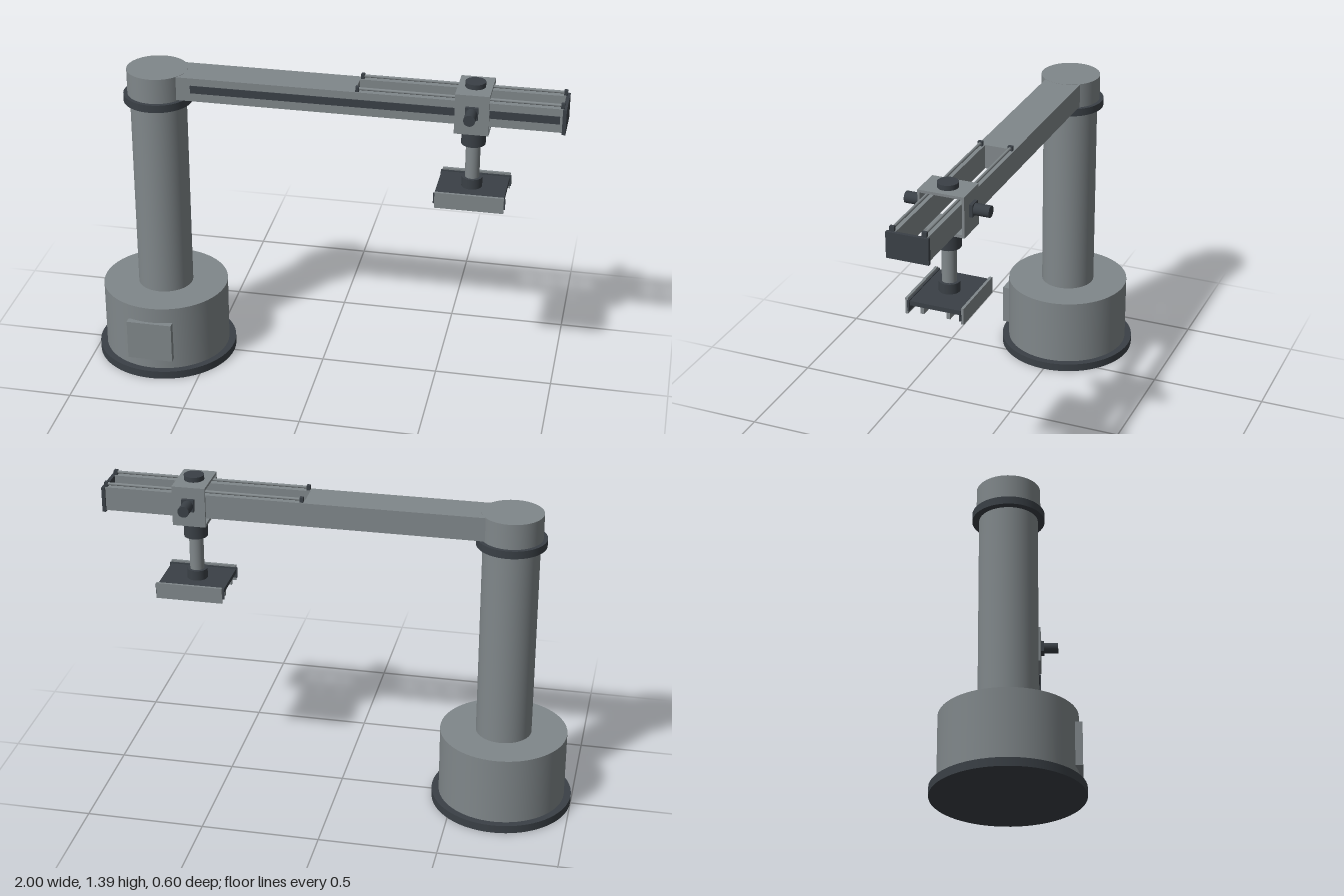
import * as THREE from 'three';

const grey = new THREE.MeshStandardMaterial({ color: 0x80878a });
grey.name = 'machine grey';
const dark = new THREE.MeshStandardMaterial({ color: 0x3a4046 });
dark.name = 'dark grey';

export function createModel() {
  const model = new THREE.Group();
  const COLUMN_X = -0.7, HEAD_X = 0.625;

  const add = (name, geometry, material) => {
    const mesh = new THREE.Mesh(geometry, material);
    mesh.name = name;
    model.add(mesh);
    return mesh;
  };
  // Box given by its low and high limits on each axis
  const box = (name, [x0, x1], [y0, y1], [z0, z1], material) =>
    add(name, new THREE.BoxGeometry(x1 - x0, y1 - y0, z1 - z0), material)
      .position.set((x0 + x1) / 2, (y0 + y1) / 2, (z0 + z1) / 2);
  // Box on one side of the arm; s is +1 for front, -1 for back
  const sideBox = (name, xs, ys, [z0, z1], s, material) =>
    box(name, xs, ys, s > 0 ? [z0, z1] : [-z1, -z0], material);
  // Upright cylinder between two heights
  const post = (name, x, r, y0, y1, material) =>
    add(name, new THREE.CylinderGeometry(r, r, y1 - y0, 64), material)
      .position.set(x, (y0 + y1) / 2, 0);

  // Base, column and shoulder
  post('baseFlange', COLUMN_X, 0.3, 0, 0.035, dark);
  post('baseDrum', COLUMN_X, 0.27, 0.035, 0.33, grey);
  box('accessPanel', [-0.8, -0.605], [0.085, 0.262], [0.255, 0.284], grey);
  post('column', COLUMN_X, 0.118, 0.33, 1.195, grey);
  post('shoulderCollar', COLUMN_X, 0.145, 1.192, 1.225, dark);
  post('shoulderCap', COLUMN_X, 0.128, 1.225, 1.333, grey);

  // Arm: solid near the column, forked into two beams further out
  const plan = new THREE.Shape([
    [COLUMN_X, -0.08], [0.985, -0.08], [0.985, -0.05], [0.145, -0.05],
    [0.145, 0.05], [0.985, 0.05], [0.985, 0.08], [COLUMN_X, 0.08],
  ].map(([x, z]) => new THREE.Vector2(x, z)));
  const armGeometry = new THREE.ExtrudeGeometry(plan, { depth: 0.102, bevelEnabled: false });
  armGeometry.rotateX(-Math.PI / 2).translate(0, 1.23, 0);
  add('arm', armGeometry, grey);
  box('armStripe', [-0.54, 0.975], [1.267, 1.3], [0.077, 0.083], dark);
  box('armEndPlate', [0.985, 1], [1.224, 1.332], [-0.087, 0.087], dark);

  // Guide rods above the beams, each held by two small brackets
  for (const s of [1, -1]) {
    const rod = add('guideRod', new THREE.CylinderGeometry(0.006, 0.006, 0.835, 16), grey);
    rod.rotation.z = Math.PI / 2;
    rod.position.set(0.57, 1.343, s * 0.065);
    for (const x of [0.155, 0.983])
      sideBox('rodBracket', [x - 0.007, x + 0.007], [1.33, 1.352], [0.055, 0.075], s, dark);
  }

  // Carriage sleeve wrapped round the arm
  const rect = (Type, w, y0, y1) => new Type([[-w, y0], [w, y0], [w, y1], [-w, y1]]
    .map(([z, y]) => new THREE.Vector2(z, y)));
  const sleeve = rect(THREE.Shape, 0.097, 1.195, 1.367);
  sleeve.holes.push(rect(THREE.Path, 0.087, 1.208, 1.356));
  const sleeveGeometry = new THREE.ExtrudeGeometry(sleeve, { depth: 0.14, bevelEnabled: false });
  sleeveGeometry.translate(0, 0, -0.07).rotateY(Math.PI / 2).translate(HEAD_X, 0, 0);
  add('carriageSleeve', sleeveGeometry, grey);

  // Side knobs
  for (const s of [1, -1]) {
    sideBox('knobMount', [HEAD_X - 0.026, HEAD_X + 0.026], [1.266, 1.318], [0.095, 0.112], s, dark);
    const knob = add('knob', new THREE.CylinderGeometry(0.024, 0.024, 0.07, 32), dark);
    knob.rotation.x = Math.PI / 2;
    knob.position.set(HEAD_X, 1.292, s * 0.142);
  }

  // Vertical spindle
  post('spindleCap', HEAD_X, 0.042, 1.365, 1.388, dark);
  post('spindleCollar', HEAD_X, 0.05, 1.115, 1.2, dark);
  post('spindleShaft', HEAD_X, 0.03, 0.96, 1.12, grey);
  post('wristCollar', HEAD_X, 0.043, 0.92, 0.965, dark);

  // Gripper plate with outer jaws and inner runners
  box('gripperPlate', [0.485, 0.77], [0.903, 0.922], [-0.107, 0.107], dark);
  for (const s of [1, -1]) {
    sideBox('jaw', [0.488, 0.772], [0.865, 0.934], [0.112, 0.123], s, grey);
    sideBox('jawBacking', [0.481, 0.777], [0.88, 0.926], [0.105, 0.113], s, dark);
    sideBox('gripperRunner', [0.49, 0.765], [0.873, 0.904], [0.047, 0.063], s, grey);
  }

  return model;
}
